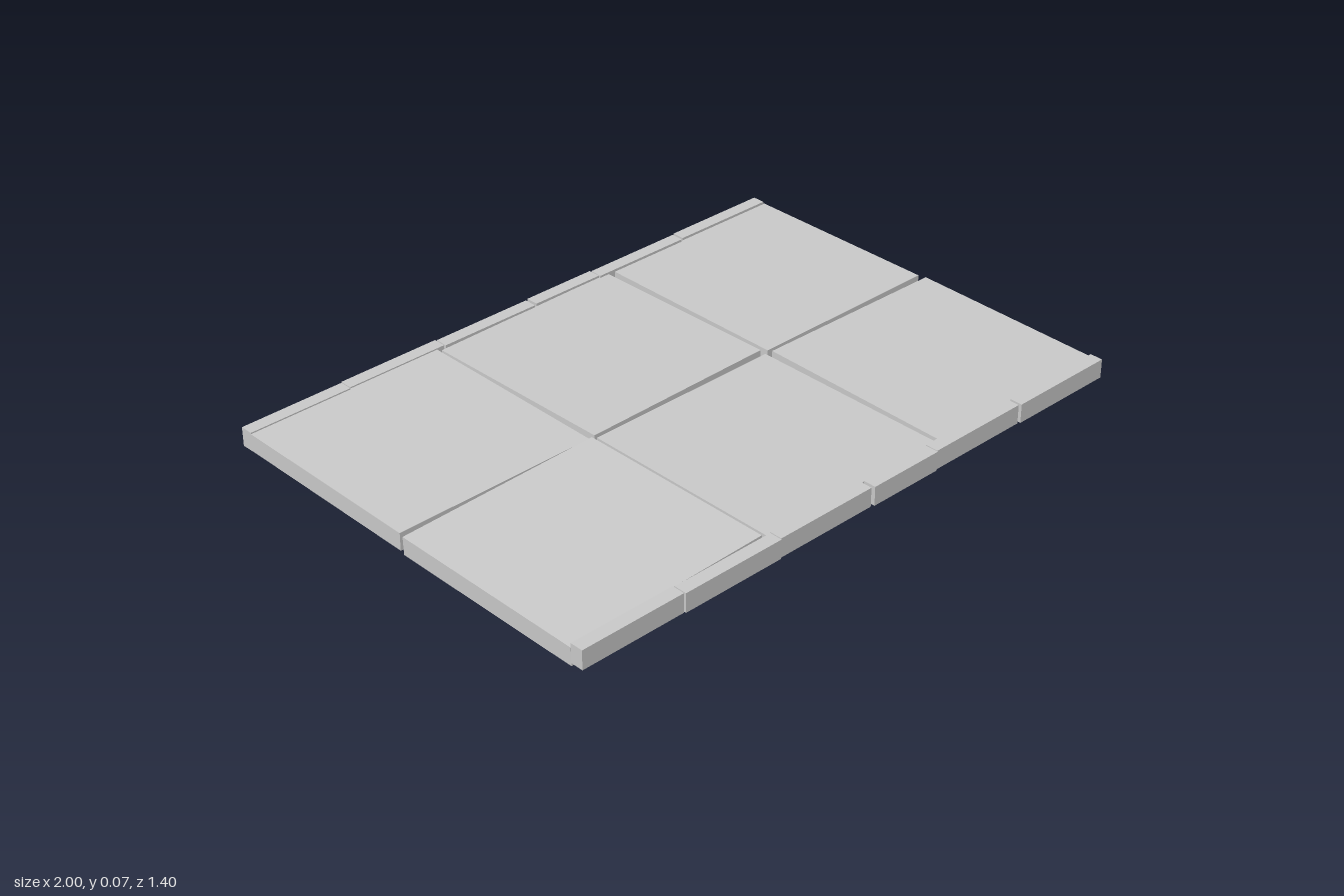
import * as THREE from 'three';

const material = new THREE.MeshStandardMaterial({ color: 0xcccccc, flatShading: true });

// Box given by its limits, then turned slightly about its own centre
function block(name, [x0, x1], [y0, y1], [z0, z1], [rx, ry, rz] = [0, 0, 0]) {
  const mesh = new THREE.Mesh(new THREE.BoxGeometry(x1 - x0, y1 - y0, z1 - z0), material);
  mesh.name = name;
  mesh.position.set((x0 + x1) / 2, (y0 + y1) / 2, (z0 + z1) / 2);
  mesh.rotation.set(rx, ry, rz);
  return mesh;
}

export function createModel() {
  const model = new THREE.Group();
  model.name = 'pavedPath';

  // Six paving slabs, each laid a little unevenly
  const slabs = new THREE.Group();
  slabs.name = 'slabs';
  slabs.add(
    block('backRightSlab', [-1, -0.346], [0.013, 0.068], [-0.66, -0.006], [0.006, 0, 0]),
    block('backMiddleSlab', [-0.33, 0.322], [0.013, 0.067], [-0.656, -0.013], [0, 0.016, 0]),
    block('backLeftSlab', [0.342, 0.99], [0.013, 0.066], [-0.66, -0.004]),
    block('frontRightSlab', [-1, -0.346], [0.012, 0.069], [0.006, 0.655], [0, 0, 0.026]),
    block('frontMiddleSlab', [-0.328, 0.322], [0.013, 0.067], [0.006, 0.655]),
    block('frontLeftSlab', [0.343, 0.991], [0.013, 0.066], [0.013, 0.688], [0, -0.018, 0]),
  );
  model.add(slabs);

  // Kerb stones along the front and back, alternate ones set slightly outward
  const kerbs = new THREE.Group();
  kerbs.name = 'kerbs';
  const spans = [[-1, -0.661], [-0.658, -0.32], [-0.317, 0.022], [0.032, 0.28], [0.283, 0.622], [0.63, 0.985]];
  for (const side of [-1, 1]) {
    spans.forEach((span, i) => {
      const out = i % 2 ? 0.004 : 0;
      const z = [0.655 + out, 0.696 + out].map((v) => v * side).sort((a, b) => a - b);
      kerbs.add(block(side > 0 ? 'frontKerb' : 'backKerb', span, [0.014, 0.074], z));
    });
  }
  model.add(kerbs);
  return model;
}
